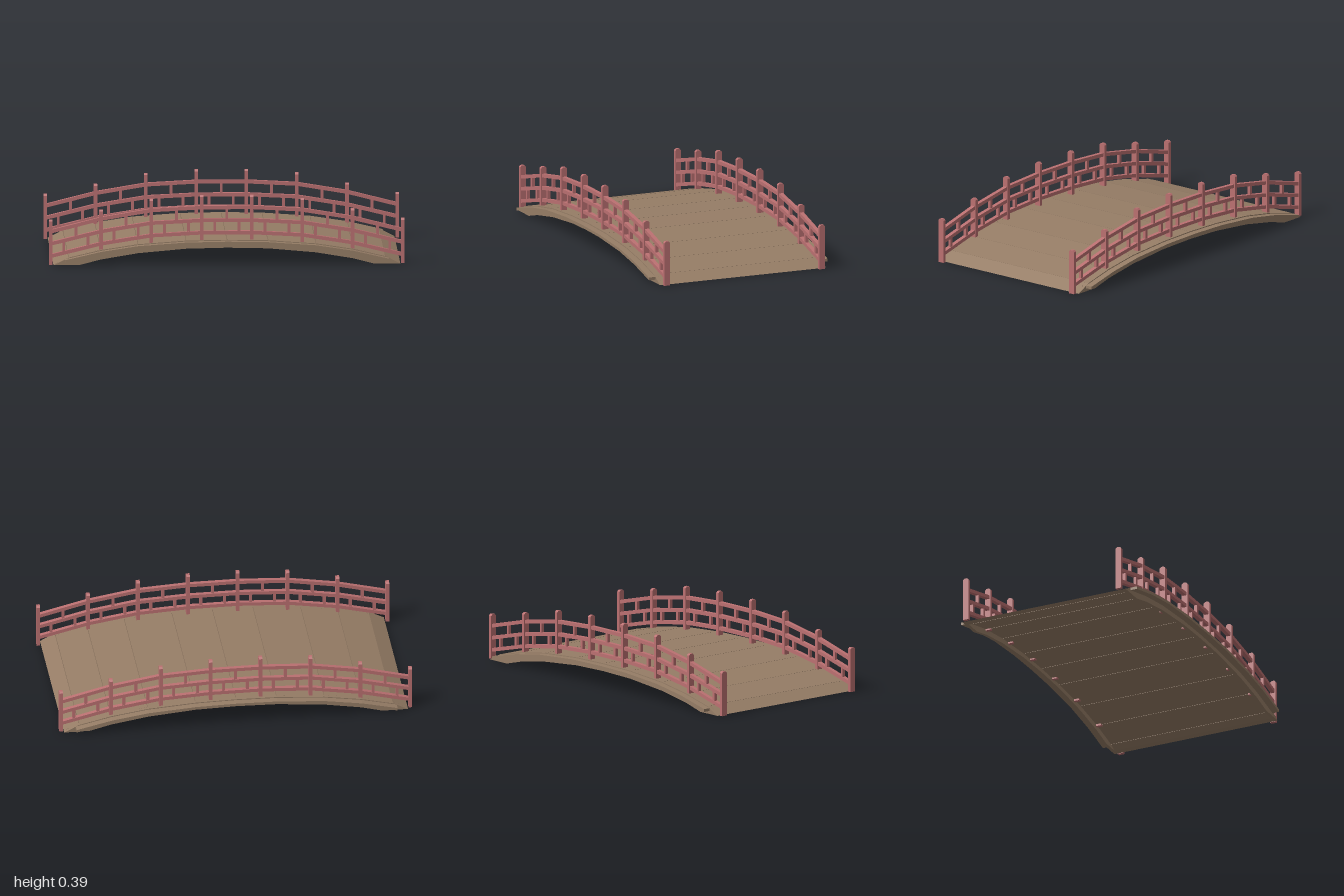
import * as THREE from 'three';

const wood = new THREE.MeshStandardMaterial({ color: 0x967d66, flatShading: true });
const red = new THREE.MeshStandardMaterial({ color: 0xbb7071, flatShading: true });

const polygon = (points) => new THREE.Shape(points.map(([x, y]) => new THREE.Vector2(x, y)));

// Closed arch outline from right-hand [x, y] points, mirrored to the left
function archShape(top, bottom) {
  const full = (half) => [
    ...half.slice(1).reverse().map(([x, y]) => [-x, y]),
    ...half,
  ];
  return polygon([...full(top), ...full(bottom).reverse()]);
}

function extruded(name, shape, depth, z, material) {
  const geometry = new THREE.ExtrudeGeometry(shape, { depth, bevelEnabled: false });
  geometry.translate(0, 0, z - depth / 2);
  const mesh = new THREE.Mesh(geometry, material);
  mesh.name = name;
  return mesh;
}

function box(name, w, h, d, x, y, z) {
  const mesh = new THREE.Mesh(new THREE.BoxGeometry(w, h, d), red);
  mesh.name = name;
  mesh.position.set(x, y, z);
  return mesh;
}

// Post with chamfered top, profile in z-y and extruded along x
function post(x, bottom, top, z) {
  const r = 0.0175, c = 0.009;
  const shape = polygon([
    [-r, bottom], [r, bottom], [r, top - c], [r - c, top], [c - r, top], [-r, top - c],
  ]);
  const mesh = extruded('post', shape, 0.02, 0, red);
  mesh.rotation.y = Math.PI / 2;
  mesh.position.set(x, 0, z);
  return mesh;
}

const postX = [-0.99, -0.707, -0.424, -0.141, 0.141, 0.424, 0.707, 0.99];
const postTop = [0.255, 0.31, 0.37, 0.39];
const postBottom = [0, 0.053, 0.09, 0.107];
const railY = {
  top: [0.187, 0.258, 0.305, 0.32],
  middle: [0.118, 0.187, 0.233, 0.247],
  lower: [0.048, 0.117, 0.162, 0.177],
};
const mirrored = (i) => Math.min(i, 7 - i);

function createRailing(z) {
  const railing = new THREE.Group();
  railing.name = 'railing';
  postX.forEach((x, i) => {
    const k = mirrored(i);
    railing.add(post(x, postBottom[k], postTop[k], z));
  });
  for (let i = 0; i < 7; i++) {
    const x0 = postX[i], x1 = postX[i + 1];
    const at = (heights, t) => THREE.MathUtils.lerp(heights[mirrored(i)], heights[mirrored(i + 1)], t);

    // Straight rail lengths between neighbouring posts
    for (const [name, heights] of Object.entries(railY)) {
      const dy = at(heights, 1) - at(heights, 0);
      const rail = box(name + 'Rail', Math.hypot(x1 - x0, dy), 0.02, 0.024,
        (x0 + x1) / 2, at(heights, 0.5), z);
      rail.rotation.z = Math.atan2(dy, x1 - x0);
      railing.add(rail);
    }

    // One strut in the upper gap, two in the lower gap
    const strut = (t, upper, lower) => {
      const a = at(upper, t), b = at(lower, t);
      railing.add(box('strut', 0.016, a - b, 0.018, THREE.MathUtils.lerp(x0, x1, t), (a + b) / 2, z));
    };
    strut(0.5, railY.top, railY.middle);
    strut(0.26, railY.middle, railY.lower);
    strut(0.74, railY.middle, railY.lower);
  }
  return railing;
}

export function createModel() {
  const bridge = new THREE.Group();
  bridge.name = 'archedFootbridge';
  const deckTop = [[0, 0.14], [0.23, 0.136], [0.5, 0.117], [0.71, 0.085], [0.89, 0.043], [0.975, 0]];

  // Thin walkway boards, one per facet, with a hairline joint between them
  const thickness = 0.022, joint = 0.0015;
  for (let i = 0; i < deckTop.length - 1; i++) {
    const [x0, y0] = deckTop[i], [x1, y1] = deckTop[i + 1];
    const last = i === deckTop.length - 2;
    const under = last ? [[x0 + joint, y0 - thickness], [0.932, 0]]
      : [[x0 + joint, y0 - thickness], [x1 - joint, y1 - thickness]];
    const outline = [...under, [last ? x1 : x1 - joint, y1], [x0 + joint, y0]];
    for (const side of [-1, 1]) {
      const shape = polygon(outline.map(([x, y]) => [side * x, y]));
      bridge.add(extruded('deckBoard', shape, 0.98, 0, wood));
    }
  }

  // Side beams hang below the boards; a thin trim strip runs along each outer face
  const beamBottom = [[0, 0.095], [0.23, 0.09], [0.5, 0.066], [0.71, 0.031], [0.83, 0]];
  const trimTop = [[0, 0.135], [0.23, 0.131], [0.5, 0.112], [0.71, 0.08], [0.91, 0.034]];
  const trimBottom = trimTop.map(([x, y]) => [x, y - 0.016]);
  for (const side of [-1, 1]) {
    bridge.add(extruded('sideBeam', archShape(deckTop, beamBottom), 0.02, side * 0.5, wood));
    bridge.add(extruded('edgeTrim', archShape(trimTop, trimBottom), 0.04, side * 0.53, wood));
    bridge.add(createRailing(side * 0.477));
  }
  return bridge;
}
